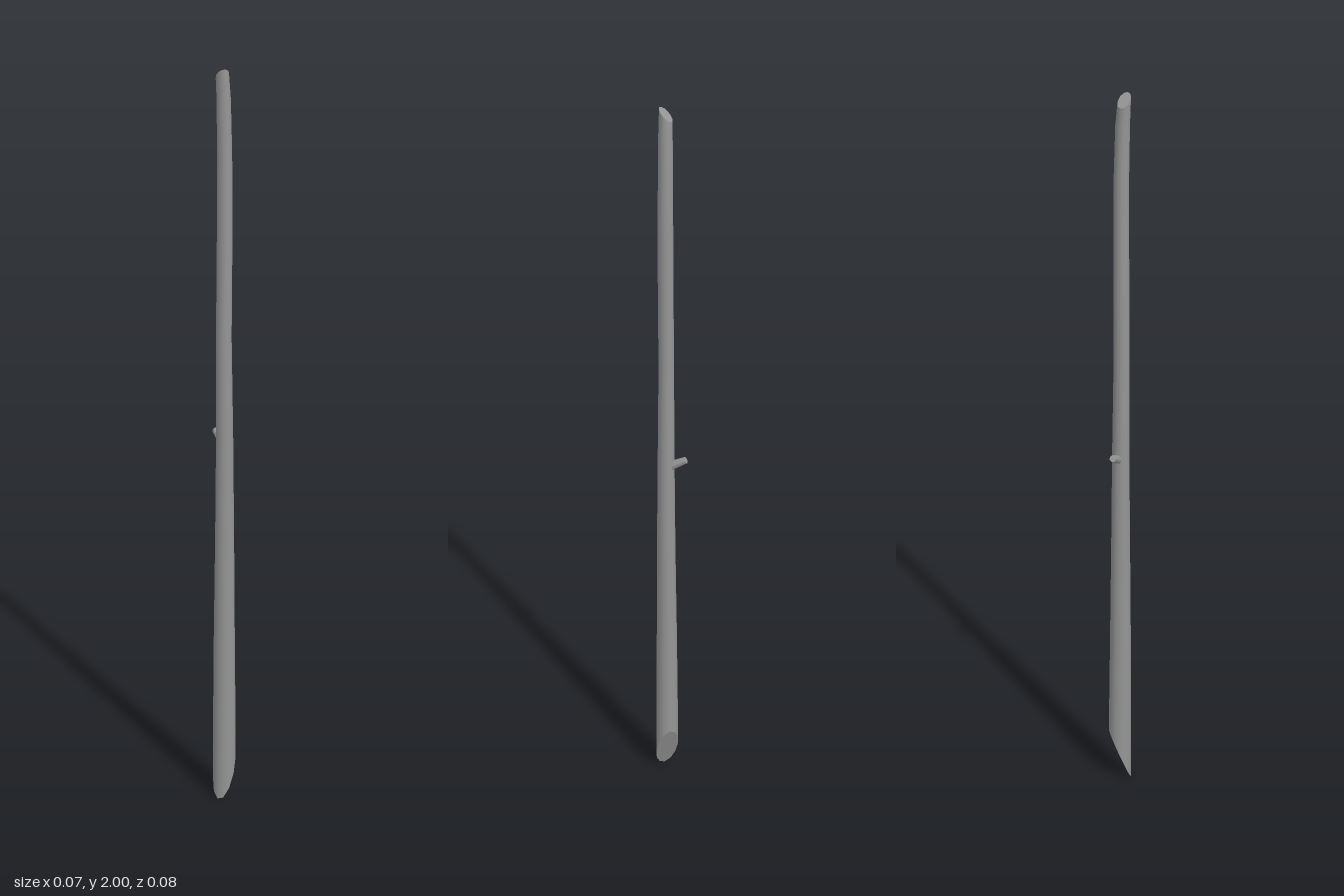
import * as THREE from 'three';
import { mergeVertices } from 'three/addons/utils/BufferGeometryUtils.js';

const SIDES = 12;

// Cross-sections from bottom to top: height, radius, centre x, centre z
const RINGS = [
  [0.088, 0.032, 0, 0.006],
  [0.21, 0.0315, 0, 0.006],
  [0.5, 0.0285, 0, 0.007],
  [0.8, 0.025, 0.001, 0.008],
  [1.08, 0.022, 0.001, 0.008],
  [1.35, 0.0195, -0.001, 0.009],
  [1.6, 0.019, 0.001, 0.009],
  [1.8, 0.018, 0.001, 0.009],
  [1.93, 0.0168, -0.001, 0.011],
  [1.985, 0.0155, -0.004, 0.013],
];
const LAST = RINGS.length - 1;

// Maps a point of the unit disc onto a ring; the end rings are slanted by their cuts
function place(x, z, level) {
  const [h, r, cx, cz] = RINGS[level];
  let y = h;
  if (level === 0) y += 0.088 * (0.42 * x - 0.91 * z);
  if (level === LAST) y += 0.015 * (0.4 * x + 0.92 * z);
  return [cx + r * x, y, cz + r * z];
}

function reshape(geometry, levelOf) {
  const p = geometry.attributes.position;
  for (let i = 0; i < p.count; i++) {
    p.setXYZ(i, ...place(p.getX(i), p.getZ(i), levelOf(p.getY(i))));
  }
  geometry.deleteAttribute('uv');
  geometry.deleteAttribute('normal');
  const merged = mergeVertices(geometry, 1e-6);
  merged.computeVertexNormals();
  return merged;
}

export function createModel() {
  const group = new THREE.Group();
  const material = new THREE.MeshStandardMaterial({ color: 0x959595 });
  const add = (name, geometry) => {
    const mesh = new THREE.Mesh(geometry, material);
    mesh.name = name;
    group.add(mesh);
    return mesh;
  };

  // Long tapering pole
  const tube = new THREE.CylinderGeometry(1, 1, LAST, SIDES, LAST, true);
  add('pole', reshape(tube, (y) => Math.round(y + LAST / 2)));

  // Slanted cut faces at both ends
  const disc = () => new THREE.CircleGeometry(1, SIDES);
  add('bottomCut', reshape(disc().rotateX(Math.PI / 2), () => 0));
  add('topCut', reshape(disc().rotateX(-Math.PI / 2), () => LAST));

  // Short branch stub pointing back, right and slightly up
  const from = new THREE.Vector3(-0.004, 1.062, -0.002);
  const to = new THREE.Vector3(-0.0275, 1.085, -0.035);
  const stub = add('branchStub',
    new THREE.CylinderGeometry(0.009, 0.0125, from.distanceTo(to), 7));
  stub.position.copy(from).lerp(to, 0.5);
  stub.quaternion.setFromUnitVectors(new THREE.Vector3(0, 1, 0), to.clone().sub(from).normalize());

  return group;
}
